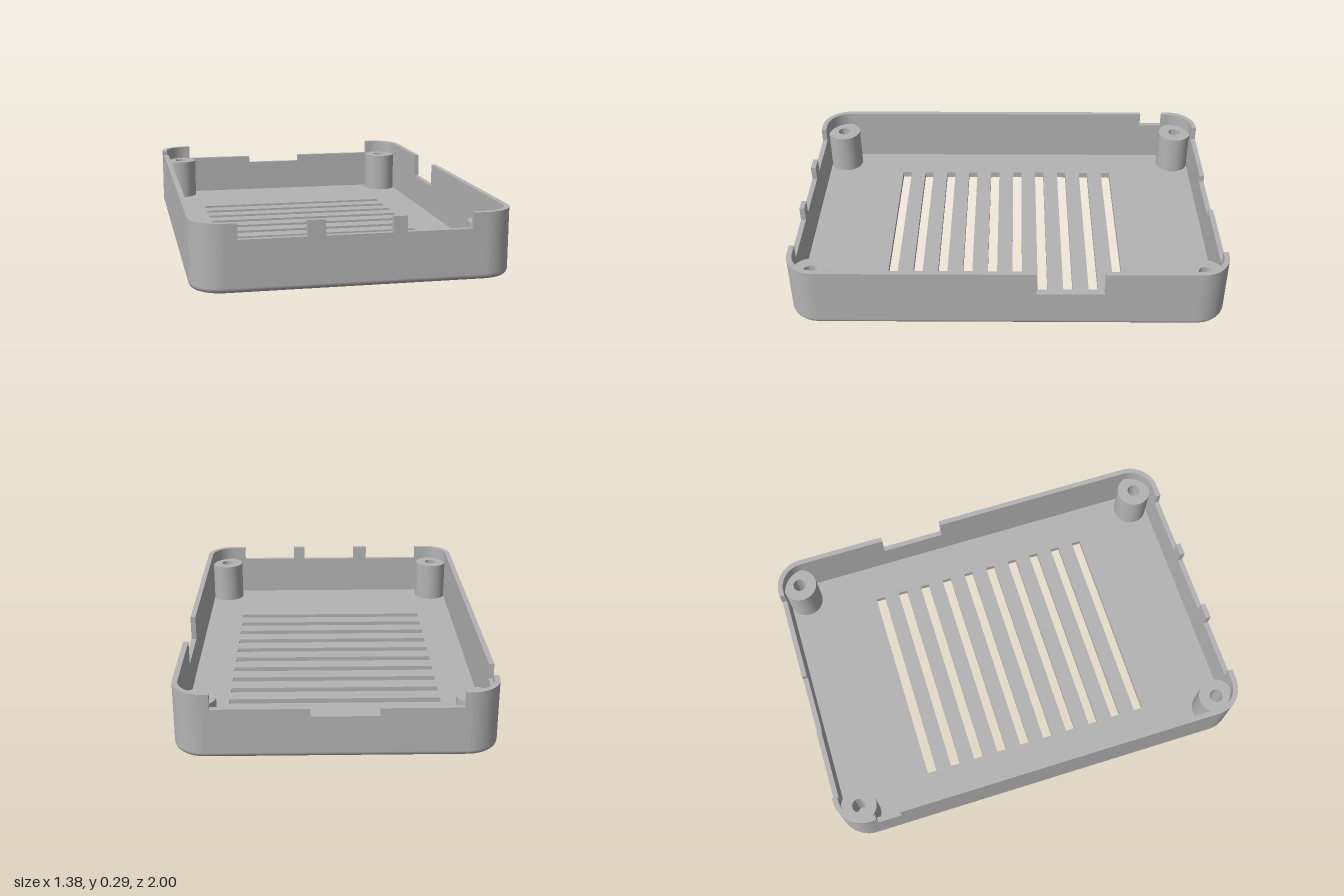
import * as THREE from 'three';
import { toCreasedNormals } from 'three/addons/utils/BufferGeometryUtils.js';

const W = 0.69, L = 1, H = 0.293, R = 0.14;   // half width, half length, height, corner radius
const T = 0.024, FLOOR = 0.03;                // wall thickness (also bottom fillet), floor thickness

// Plan outline with wall heights. Each cut is [position along the side, top height after it].
function outline() {
  const low = 0.225;
  const sides = [
    { axis: 'x', cuts: [[0.49, low], [0.205, H], [0.145, low], [-0.14, H], [-0.215, low], [-0.5, H]] }, // front
    { axis: 'z', cuts: [[-0.715, low], [-0.83, H]] },                                                   // left of view
    { axis: 'x', cuts: [[-0.53, low], [-0.18, 0.19], [0.11, low], [0.525, H]] },                        // back
    { axis: 'z', cuts: [[-0.435, 0.18], [-0.13, H]] },
  ];
  const pts = [];
  sides.forEach((side, k) => {
    const cx = (k === 0 || k === 3 ? 1 : -1) * (W - R);
    const cz = (k < 2 ? 1 : -1) * (L - R);
    for (let i = 0; i <= 12; i++) {
      const a = (k + i / 12) * Math.PI / 2, nx = Math.cos(a), nz = Math.sin(a);
      pts.push({ x: cx + R * nx, z: cz + R * nz, nx, nz, top: H });
    }
    const end = (k + 1) * Math.PI / 2, nx = Math.round(Math.cos(end)), nz = Math.round(Math.sin(end));
    for (const [p, top] of side.cuts) {
      pts.push(side.axis === 'x' ? { x: p, z: nz * L, nx, nz, top } : { x: nx * W, z: p, nx, nz, top });
    }
  });
  return pts;
}

// Thin wall with rounded bottom edge and stepped cut-outs along the rim
function wallGeometry() {
  const pos = [], nor = [];
  const at = (p, inset, y) => [p.x - p.nx * inset, y, p.z - p.nz * inset];
  const dir = (p, out, up) => [p.nx * out, up, p.nz * out];
  const quad = (v, n) => [0, 1, 2, 0, 2, 3].forEach(i => { pos.push(...v[i]); nor.push(...n[i]); });

  const pts = outline();
  pts.forEach((a, i) => {
    const b = pts[(i + 1) % pts.length], top = a.top;
    // outer skin: fillet rows, then the straight wall
    const rows = [];
    for (let k = 0; k <= 6; k++) {
      const t = k / 6 * Math.PI / 2;
      rows.push([T * (1 - Math.sin(t)), T * (1 - Math.cos(t)), Math.sin(t), -Math.cos(t)]);
    }
    rows.push([0, top, 1, 0]);
    for (let k = 0; k < rows.length - 1; k++) {
      const [d0, y0, o0, u0] = rows[k], [d1, y1, o1, u1] = rows[k + 1];
      quad([at(a, d0, y0), at(a, d1, y1), at(b, d1, y1), at(b, d0, y0)],
        [dir(a, o0, u0), dir(a, o1, u1), dir(b, o1, u1), dir(b, o0, u0)]);
    }
    // inner skin and rim
    const na = dir(a, -1, 0), nb = dir(b, -1, 0), up = [0, 1, 0];
    quad([at(b, T, FLOOR), at(b, T, top), at(a, T, top), at(a, T, FLOOR)], [nb, nb, na, na]);
    quad([at(a, 0, top), at(a, T, top), at(b, T, top), at(b, 0, top)], [up, up, up, up]);
    // end face where the rim height changes
    if (b.top !== top) {
      const lo = Math.min(top, b.top), hi = Math.max(top, b.top), s = b.top < top ? 1 : -1;
      const v = [at(b, T, lo), at(b, 0, lo), at(b, 0, hi), at(b, T, hi)];
      const n = [-b.nz * s, 0, b.nx * s];
      quad(s > 0 ? v : v.reverse(), [n, n, n, n]);
    }
  });
  const g = new THREE.BufferGeometry();
  g.setAttribute('position', new THREE.Float32BufferAttribute(pos, 3));
  g.setAttribute('normal', new THREE.Float32BufferAttribute(nor, 3));
  return g;
}

// Extrude a plan shape (shape y = -z) upward from y0 to y1
function slab(shape, y0, y1, curveSegments) {
  const g = new THREE.ExtrudeGeometry(shape, { depth: y1 - y0, bevelEnabled: false, curveSegments });
  return toCreasedNormals(g.rotateX(-Math.PI / 2).translate(0, y0, 0), 0.5);
}

// Floor plate with ten ventilation slots
function floorGeometry() {
  const shape = new THREE.Shape();
  const r = R - T;
  for (let k = 0; k < 4; k++) {
    const cx = (k === 0 || k === 3 ? 1 : -1) * (W - R), cy = (k < 2 ? 1 : -1) * (L - R);
    shape.absarc(cx, cy, r, k * Math.PI / 2, (k + 1) * Math.PI / 2, false);
  }
  shape.closePath();
  for (let i = 0; i < 10; i++) {
    const y = 0.523 - i * 0.1197, h = 0.0225, x0 = -0.487, x1 = 0.483;
    shape.holes.push(new THREE.Path([
      new THREE.Vector2(x0, y - h), new THREE.Vector2(x0, y + h),
      new THREE.Vector2(x1, y + h), new THREE.Vector2(x1, y - h),
    ]));
  }
  return slab(shape, 0, FLOOR, 12);
}

// Hollow screw post
function postGeometry() {
  const ring = new THREE.Shape().absarc(0, 0, 0.083, 0, Math.PI * 2, false);
  ring.holes.push(new THREE.Path().absarc(0, 0, 0.031, 0, Math.PI * 2, true));
  return slab(ring, FLOOR - 0.002, 0.23, 20);
}

export function createModel() {
  const group = new THREE.Group();
  group.name = 'enclosureTray';
  const grey = new THREE.MeshStandardMaterial({ color: 0xb4b4b4 });
  grey.name = 'grey plastic';

  const add = (geometry, name) => {
    const mesh = new THREE.Mesh(geometry, grey);
    mesh.name = name;
    group.add(mesh);
    return mesh;
  };

  add(wallGeometry(), 'wall');
  add(floorGeometry(), 'ventedFloor');
  const post = postGeometry();
  for (const x of [-1, 1]) for (const z of [-1, 1]) {
    add(post, `${z > 0 ? 'front' : 'back'}${x > 0 ? 'Left' : 'Right'}Post`).position.set(x * 0.587, 0, z * 0.895);
  }
  return group;
}
